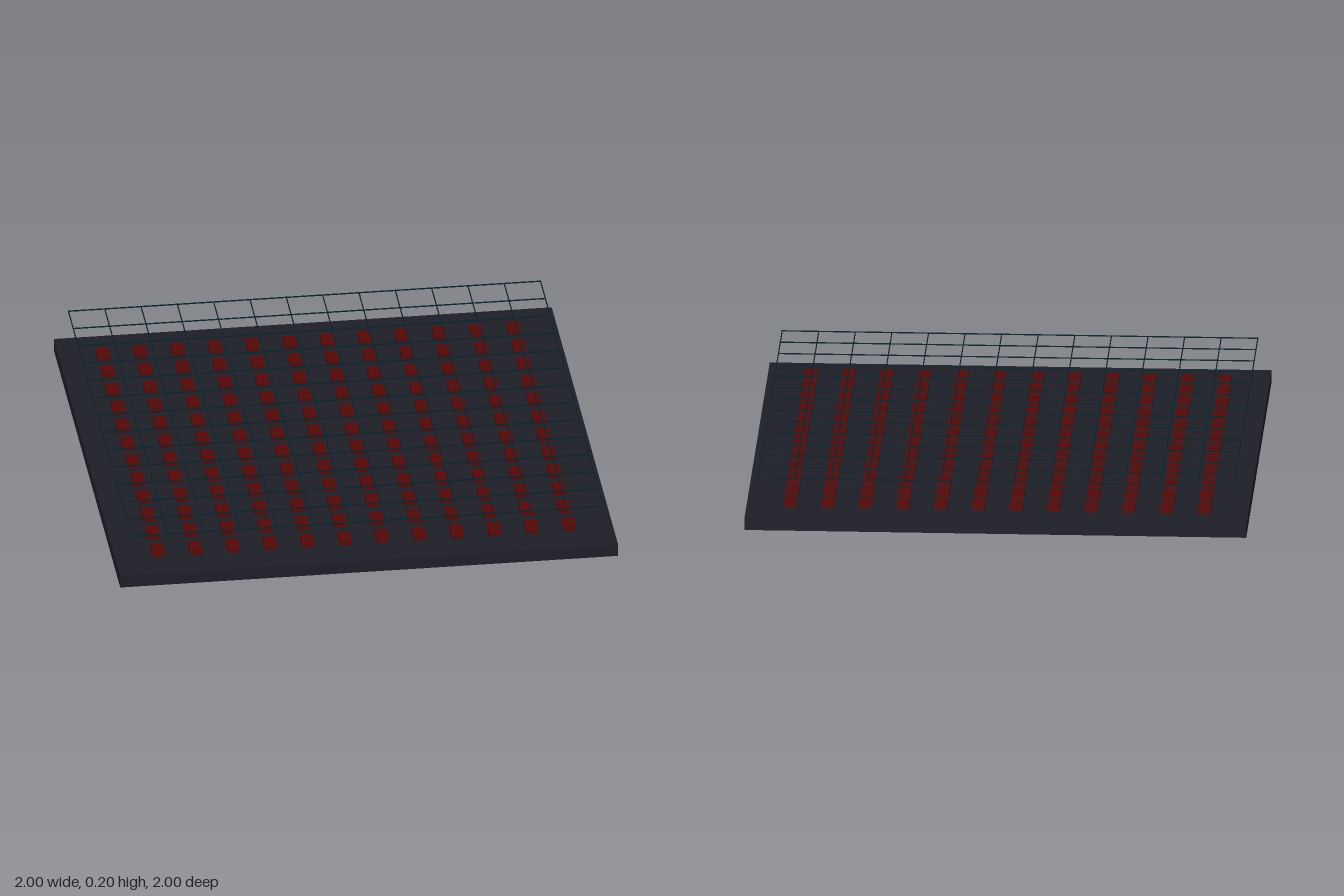
import * as THREE from 'three';

export function createModel() {
  const model = new THREE.Group();
  const slabMat = new THREE.MeshStandardMaterial({ color: 0x1e1e28 });
  const blockMat = new THREE.MeshStandardMaterial({ color: 0x550808 });
  const wireMat = new THREE.MeshStandardMaterial({ color: 0x06202a });

  const addBox = (parent, name, mat, w, h, d, x, y, z) => {
    const mesh = new THREE.Mesh(new THREE.BoxGeometry(w, h, d), mat);
    mesh.name = name;
    mesh.position.set(x, y, z);
    parent.add(mesh);
  };

  // Base slab
  addBox(model, 'baseSlab', slabMat, 2, 0.05, 2, 0, 0.025, 0);

  // 12 x 12 field of small raised blocks
  const blocks = new THREE.Group();
  blocks.name = 'blocks';
  const count = 12, pitch = 0.15;
  for (let i = 0; i < count; i++) {
    for (let j = 0; j < count; j++) {
      const x = (i - (count - 1) / 2) * pitch;
      const z = (j - (count - 1) / 2) * pitch;
      addBox(blocks, 'block', blockMat, 0.05, 0.02, 0.08, x, 0.06, z);
    }
  }
  model.add(blocks);

  // Fine wire grid floating above the slab
  const grid = new THREE.Group();
  grid.name = 'wireGrid';
  const size = 1.9, cells = 13, thick = 0.004, gridY = 0.2;
  for (let i = 0; i <= cells; i++) {
    const p = (i / cells - 0.5) * (size - thick);
    addBox(grid, 'wireAcross', wireMat, size, thick, thick, 0, gridY, p);
    addBox(grid, 'wireAlong', wireMat, thick, thick, size, p, gridY, 0);
  }
  model.add(grid);

  return model;
}
